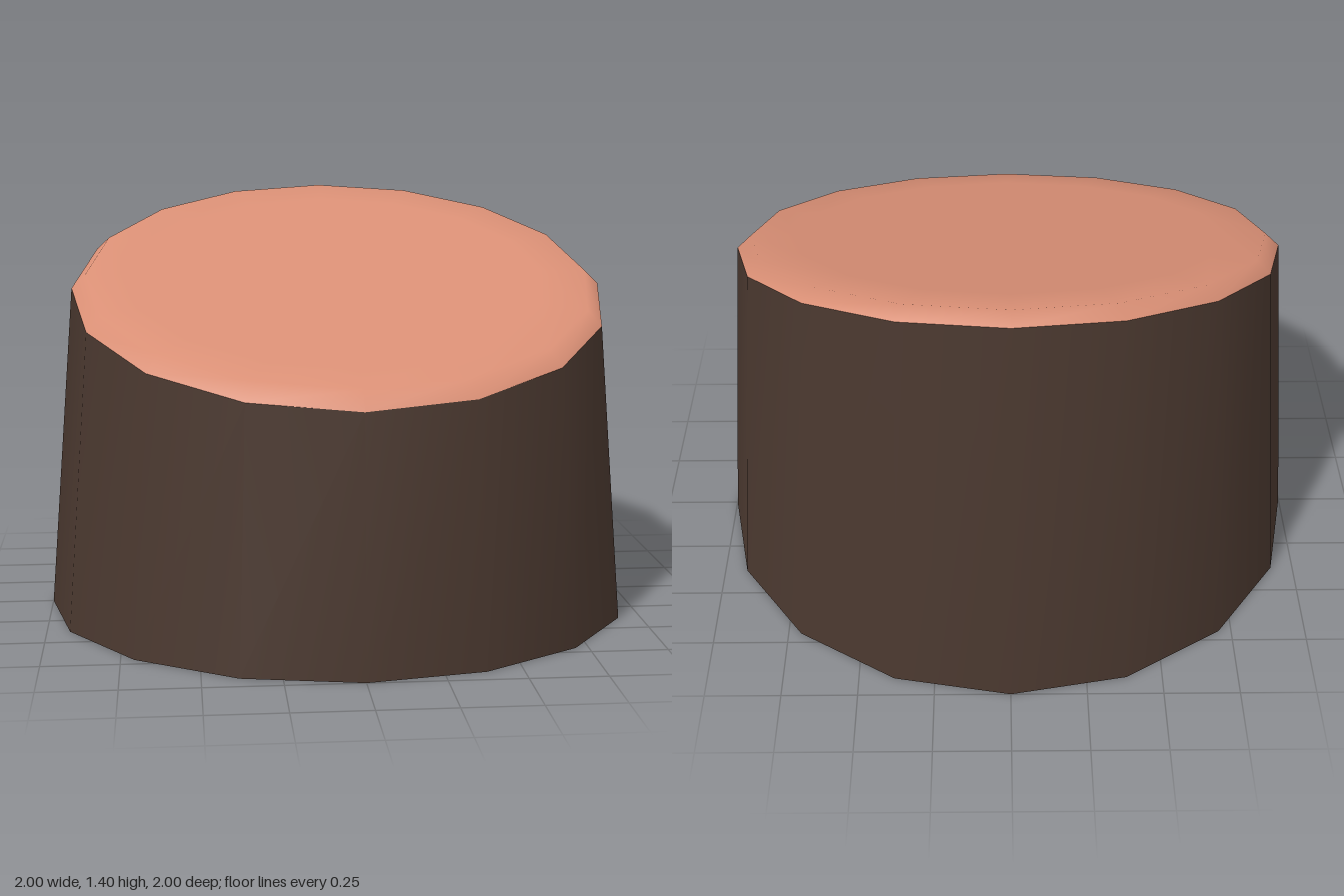
import * as THREE from 'three';

const SIDES = 16;
const TAPER = 0.08; // radius lost per unit of height
const SLOPE = 0.296; // tilt of the cut top

const bottomRing = [];
const rimRing = [];
for (let i = 0; i < SIDES; i++) {
  const a = (i / SIDES) * Math.PI * 2;
  const s = Math.sin(a), c = Math.cos(a);
  // height where the tapered wall meets the slanted plane
  const y = (1.1 - SLOPE * c) / (1 - SLOPE * c * TAPER);
  const r = 1 - TAPER * y;
  bottomRing.push([s, 0, c]);
  rimRing.push([r * s, y, r * c]);
}

// Rim scaled about its middle and lifted, staying on the slant
function capRing(scale, lift) {
  const zMid = 0.023;
  return rimRing.map(([x, , z]) => {
    const nz = zMid + (z - zMid) * scale;
    return [x * scale, 1.1 + lift - SLOPE * nz, nz];
  });
}

// Skin closed rings, optionally closing the last one with a centre point
function loft(rings, centre) {
  const pos = rings.flat(2);
  const index = [];
  for (let k = 0; k < rings.length; k++) {
    for (let i = 0; i < SIDES; i++) {
      const j = (i + 1) % SIDES;
      const a = k * SIDES + i, b = k * SIDES + j;
      if (k < rings.length - 1) index.push(a, b, b + SIDES, a, b + SIDES, a + SIDES);
      else if (centre) index.push(a, b, rings.length * SIDES);
    }
  }
  if (centre) pos.push(...centre);
  const g = new THREE.BufferGeometry();
  g.setAttribute('position', new THREE.Float32BufferAttribute(pos, 3));
  g.setIndex(index);
  g.computeVertexNormals();
  return g;
}

export function createModel() {
  const group = new THREE.Group();
  group.name = 'slantedStump';

  const bark = new THREE.MeshStandardMaterial({ color: 0x4a382f, side: THREE.DoubleSide });
  bark.name = 'darkBrown';
  const wood = new THREE.MeshStandardMaterial({ color: 0xd98f75, side: THREE.DoubleSide });
  wood.name = 'salmon';

  // Tapered wall, open underneath
  const wall = new THREE.Mesh(loft([bottomRing, rimRing]), bark);
  wall.name = 'wall';

  // Slanted cap with a softened edge
  const cap = new THREE.Mesh(
    loft([rimRing, capRing(0.948, 0.047), capRing(0.78, 0.048)], [0, 1.148 - SLOPE * 0.023, 0.023]),
    wood
  );
  cap.name = 'slantedCap';

  group.add(wall, cap);
  return group;
}
